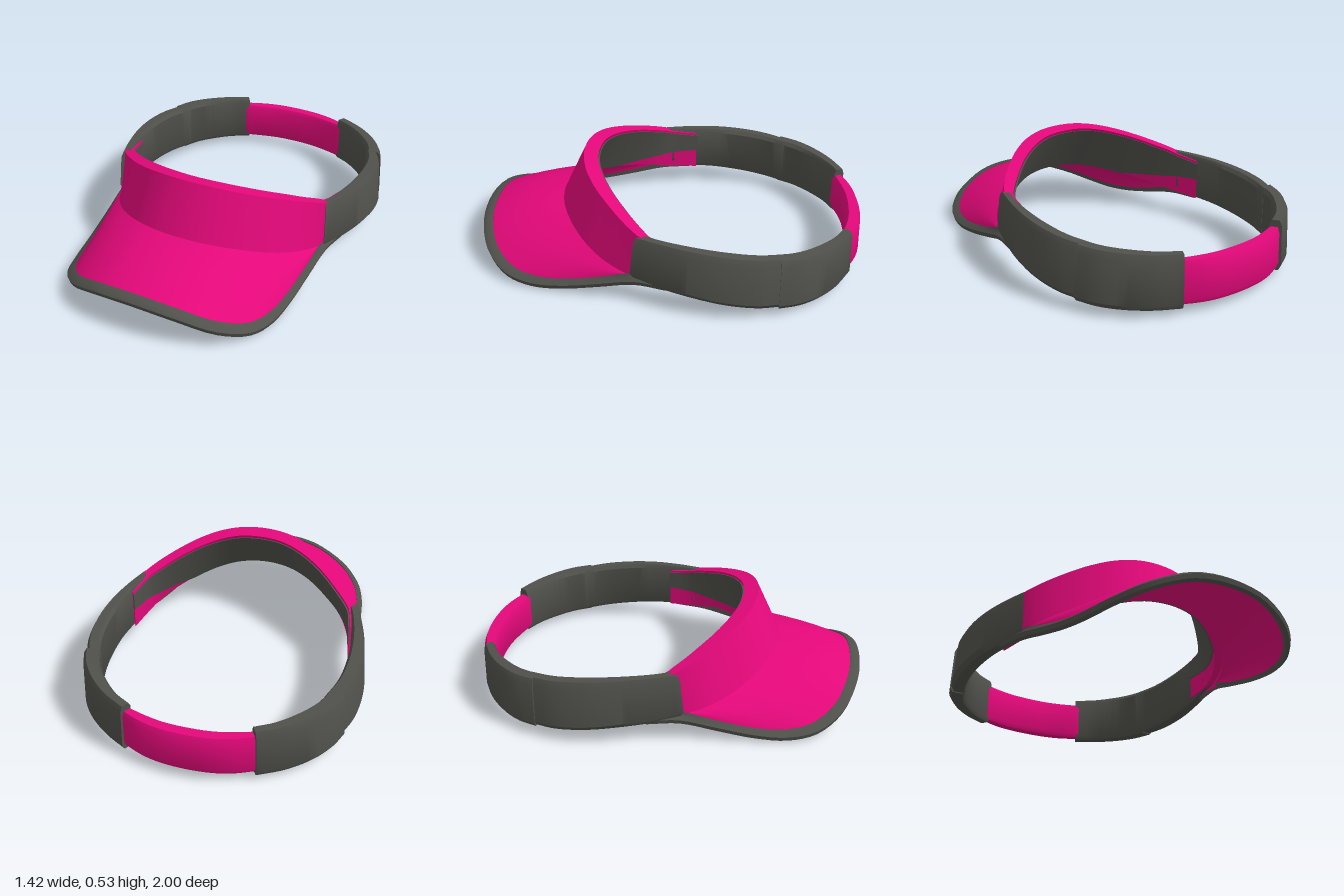
import * as THREE from 'three';
import { toCreasedNormals } from 'three/addons/utils/BufferGeometryUtils.js';

const pink = new THREE.MeshStandardMaterial({ color: 0xe4087a });
pink.name = 'pink fabric';
const grey = new THREE.MeshStandardMaterial({ color: 0x50514b });
grey.name = 'dark grey trim';

const V = (x, y, z) => new THREE.Vector3(x, y, z);
const curve = (pts) => new THREE.CatmullRomCurve3(pts.map((p) => V(...p)), false, 'centripetal');

// Mirrors a half profile that starts on x = 0 into a full right-to-left curve.
const mirrored = (half) =>
  curve([...half.slice(1).reverse().map(([x, y, z]) => [-x, y, z]), ...half]);

// Solid skin over a row of closed cross-sections, capped at both ends.
function loft(sections, crease = 0.6) {
  const n = sections[0].length, last = (sections.length - 1) * n;
  const pts = sections.flat(), idx = [];
  for (let i = 0; i < last; i += n) {
    for (let k = 0; k < n; k++) {
      const k2 = (k + 1) % n;
      idx.push(i + k, i + k2, i + n + k2, i + k, i + n + k2, i + n + k);
    }
  }
  for (let k = 1; k < n - 1; k++) idx.push(0, k + 1, k, last, last + k, last + k + 1);
  // Turn the faces outward
  let volume = 0;
  for (let i = 0; i < idx.length; i += 3) {
    volume += pts[idx[i]].dot(pts[idx[i + 1]].clone().cross(pts[idx[i + 2]]));
  }
  if (volume < 0) idx.reverse();
  const geo = new THREE.BufferGeometry().setFromPoints(pts);
  geo.setIndex(idx);
  return toCreasedNormals(geo, crease);
}

const sweep = (steps, section) =>
  Array.from({ length: steps + 1 }, (_, i) => section(i / steps));

function part(group, name, geo, material) {
  const mesh = new THREE.Mesh(geo, material);
  mesh.name = name;
  group.add(mesh);
}

// Upright band; stations are [outer x, outer z, inner x, inner z, bottom y, top y].
function band(stations, side, lean, steps) {
  const outer = curve(stations.map((s) => [s[0] * side, s[4], s[1]]));
  const inner = curve(stations.map((s) => [s[2] * side, s[5], s[3]]));
  return loft(sweep(steps, (t) => {
    const o = outer.getPoint(t), i = inner.getPoint(t);
    const y0 = o.y, y1 = i.y;
    const at = (f, y) => V(o.x + (i.x - o.x) * f, y, o.z + (i.z - o.z) * f);
    return [
      at(0.18, y0), at(0, y0 + 0.025), at(lean, y1 - 0.03), at(lean + 0.17, y1),
      at(0.85, y1), at(1, y1 - 0.02), at(0.95, y0 + 0.02), at(0.8, y0),
    ];
  }));
}

export function createModel() {
  const visor = new THREE.Group();
  visor.name = 'sunVisor';

  // Shared guide curves; the last point of each is tucked into the side band
  const seam = mirrored([
    [0, 0.28, 0.57], [0.15, 0.272, 0.55], [0.28, 0.248, 0.495], [0.4, 0.212, 0.41],
    [0.47, 0.187, 0.34], [0.53, 0.165, 0.26], [0.57, 0.147, 0.18], [0.592, 0.135, 0.11],
    [0.62, 0.127, -0.05],
  ]);
  const rimOuter = mirrored([
    [0, 0.53, 0.45], [0.12, 0.525, 0.438], [0.24, 0.505, 0.4], [0.35, 0.473, 0.335],
    [0.43, 0.442, 0.268], [0.5, 0.41, 0.2], [0.555, 0.381, 0.135], [0.588, 0.36, 0.08],
    [0.615, 0.33, -0.06],
  ]);
  const rimInner = mirrored([
    [0, 0.515, 0.375], [0.12, 0.51, 0.362], [0.23, 0.49, 0.322], [0.335, 0.458, 0.26],
    [0.41, 0.428, 0.2], [0.475, 0.396, 0.14], [0.528, 0.37, 0.085], [0.558, 0.35, 0.045],
    [0.587, 0.33, -0.085],
  ]);
  const edge = mirrored([
    [0, 0.188, 0.972], [0.2, 0.168, 0.955], [0.38, 0.103, 0.888], [0.488, 0.05, 0.775],
    [0.534, 0.032, 0.64], [0.556, 0.046, 0.48], [0.572, 0.083, 0.3], [0.59, 0.123, 0.12],
    [0.622, 0.125, -0.04],
  ]);
  const innerFoot = (t) => {
    const s = seam.getPoint(t);
    return V(s.x * 0.95, s.y - 0.015, s.z - 0.035);
  };
  // Point on the brim's upper face: v = 0 at the seam, 1 at the edge
  const brimPoint = (t, v) => {
    const p = seam.getPoint(t).lerp(edge.getPoint(t), v);
    p.y += 0.018 * Math.sin(Math.PI * v);
    return p;
  };

  // Front panel
  part(visor, 'frontPanel', loft(sweep(64, (t) =>
    [seam.getPoint(t), rimOuter.getPoint(t), rimInner.getPoint(t), innerFoot(t)])), pink);

  // Grey lining inside the panel, leaving a pink wedge low at each side
  part(visor, 'innerLining', loft(sweep(64, (t) => {
    const i = rimInner.getPoint(t);
    i.y -= 0.012;
    const wedge = Math.max(0, (Math.abs(2 * t - 1) - 0.4) / 0.6) * 0.55;
    const low = innerFoot(t).lerp(i, wedge);
    const inward = (p) => V(p.x * 0.99, p.y, p.z - 0.007);
    return [low, i, inward(i), inward(low)];
  })), grey);

  // Curved brim
  part(visor, 'brim', loft(sweep(64, (t) => {
    const top = Array.from({ length: 7 }, (_, k) => brimPoint(t, k / 6));
    const under = top.map((p) => V(p.x, p.y - 0.02, p.z)).reverse();
    return [...top, ...under];
  })), pink);

  // Flat binding folded over the brim edge, wider above than below
  part(visor, 'brimBinding', loft(sweep(64, (t) => {
    const e = edge.getPoint(t), d = edge.getTangent(t);
    const out = V(-d.z, 0, d.x).normalize();
    const width = e.distanceTo(seam.getPoint(t));
    const top = brimPoint(t, Math.max(0, 1 - 0.028 / width));
    const under = brimPoint(t, Math.max(0, 1 - 0.012 / width));
    const shift = (p, o, y) => p.clone().addScaledVector(out, o).setY(p.y + y);
    return [
      shift(top, 0, -0.01), shift(top, 0, 0.006), shift(e, 0.004, 0.014),
      shift(e, 0.023, -0.002), shift(e, 0.017, -0.024), shift(e, 0, -0.034),
      shift(under, 0, -0.027),
    ];
  }), 0.7), grey);

  // Side bands and the sleeves that hold the back strap
  const bandStations = [
    [0.602, 0.14, 0.562, 0.05, 0.135, 0.36], [0.648, 0.0, 0.583, -0.02, 0.113, 0.356],
    [0.691, -0.16, 0.61, -0.18, 0.098, 0.348], [0.708, -0.32, 0.616, -0.34, 0.078, 0.336],
    [0.692, -0.48, 0.6, -0.48, 0.06, 0.322], [0.645, -0.61, 0.56, -0.6, 0.048, 0.31],
  ];
  const sleeveStations = [
    [0.665, -0.58, 0.573, -0.575, 0.045, 0.313], [0.625, -0.68, 0.53, -0.665, 0.041, 0.308],
    [0.555, -0.775, 0.462, -0.75, 0.038, 0.302], [0.45, -0.865, 0.375, -0.83, 0.036, 0.296],
    [0.325, -0.935, 0.29, -0.878, 0.035, 0.292],
  ];
  for (const [side, label] of [[1, 'left'], [-1, 'right']]) {
    part(visor, label + 'SideBand', band(bandStations, side, 0.2, 24), grey);
    part(visor, label + 'StrapSleeve', band(sleeveStations, side, 0.12, 16), grey);
  }

  // Back strap
  const strapHalf = [
    [0, -1, 0, -0.92, 0.048, 0.255], [0.12, -0.992, 0.115, -0.914, 0.048, 0.255],
    [0.22, -0.968, 0.21, -0.895, 0.048, 0.256], [0.33, -0.918, 0.31, -0.868, 0.05, 0.258],
  ];
  const strapStations = [
    ...strapHalf.slice(1).reverse().map(([a, b, c, ...rest]) => [-a, b, -c, ...rest]),
    ...strapHalf,
  ];
  part(visor, 'backStrap', band(strapStations, 1, 0.08, 24), pink);

  return visor;
}
